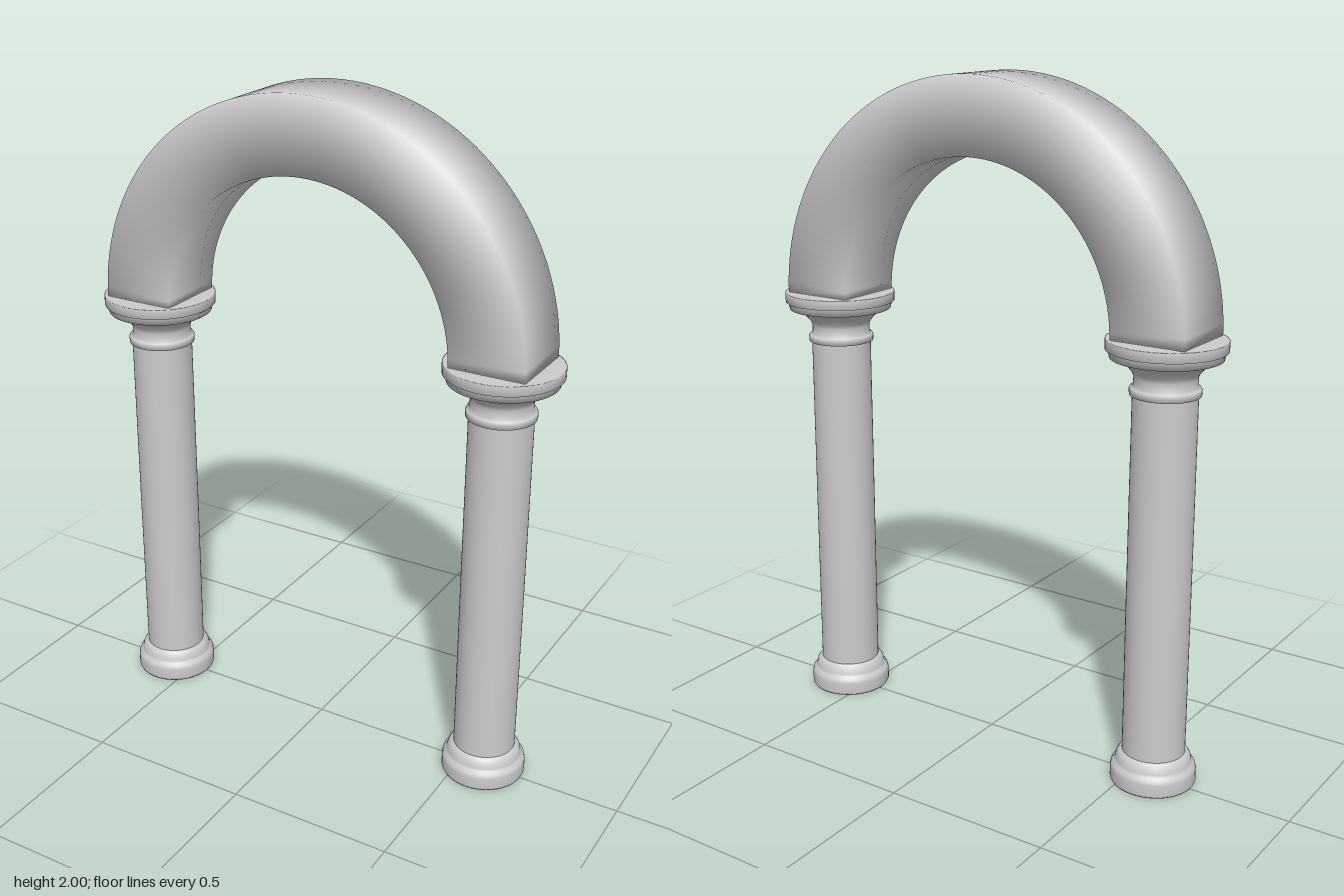
import * as THREE from 'three';

const material = new THREE.MeshStandardMaterial({ color: 0xcccccc });
const SPRING_Y = 1.32, COLUMN_X = 0.57;

// Half ring of square section; shared corners give it softly rounded shading
function archGeometry(inner, outer, halfDepth, segments) {
  const corners = [[outer, halfDepth], [outer, -halfDepth], [inner, -halfDepth], [inner, halfDepth]];
  const positions = [], index = [];
  for (let i = 0; i <= segments; i++) {
    const a = (i / segments) * Math.PI;
    for (const [r, z] of corners) positions.push(r * Math.cos(a), r * Math.sin(a), z);
  }
  for (let i = 0; i < segments; i++) {
    for (let j = 0; j < 4; j++) {
      const a = i * 4 + j, b = i * 4 + (j + 1) % 4;
      index.push(a, b, b + 4, a, b + 4, a + 4);
    }
  }
  // End faces resting on the capitals
  const e = segments * 4;
  index.push(0, 2, 1, 0, 3, 2, e, e + 1, e + 2, e, e + 2, e + 3);
  const geometry = new THREE.BufferGeometry();
  geometry.setAttribute('position', new THREE.Float32BufferAttribute(positions, 3));
  geometry.setIndex(index);
  geometry.computeVertexNormals();
  return geometry;
}

// Turned part from [radius, height] pairs
function turned(name, profile) {
  const points = profile.map(([r, y]) => new THREE.Vector2(r, y));
  const mesh = new THREE.Mesh(new THREE.LatheGeometry(points, 48), material);
  mesh.name = name;
  return mesh;
}

function createColumn(name) {
  const column = new THREE.Group();
  column.name = name;
  column.add(
    turned('base', [
      [0, 0], [0.122, 0], [0.125, 0.006], [0.125, 0.04], [0.122, 0.052], [0.113, 0.06],
      [0.111, 0.066], [0.108, 0.08], [0.1, 0.092], [0.091, 0.096],
    ]),
    turned('shaft', [[0.092, 0.09], [0.092, 0.63], [0.091, 1.17]]),
    // Neck ring, flared bell and round abacus
    turned('capital', [
      [0.09, 1.164], [0.099, 1.165], [0.1, 1.18], [0.097, 1.186], [0.089, 1.19], [0.088, 1.215],
      [0.093, 1.228], [0.108, 1.246], [0.128, 1.262], [0.132, 1.27],
    ]),
    turned('abacusStep', [[0.13, 1.268], [0.156, 1.268], [0.16, 1.29]]),
    turned('abacus', [[0.158, 1.29], [0.168, 1.291], [0.168, 1.319], [0.164, 1.32], [0, 1.32]]),
  );
  return column;
}

export function createModel() {
  const group = new THREE.Group();
  group.name = 'columnArch';

  for (const side of [-1, 1]) {
    const column = createColumn(side > 0 ? 'leftColumn' : 'rightColumn');
    column.position.x = side * COLUMN_X;
    group.add(column);
  }

  const arch = new THREE.Mesh(archGeometry(0.456, 0.68, 0.113, 64), material);
  arch.name = 'arch';
  arch.position.y = SPRING_Y;
  group.add(arch);
  return group;
}
